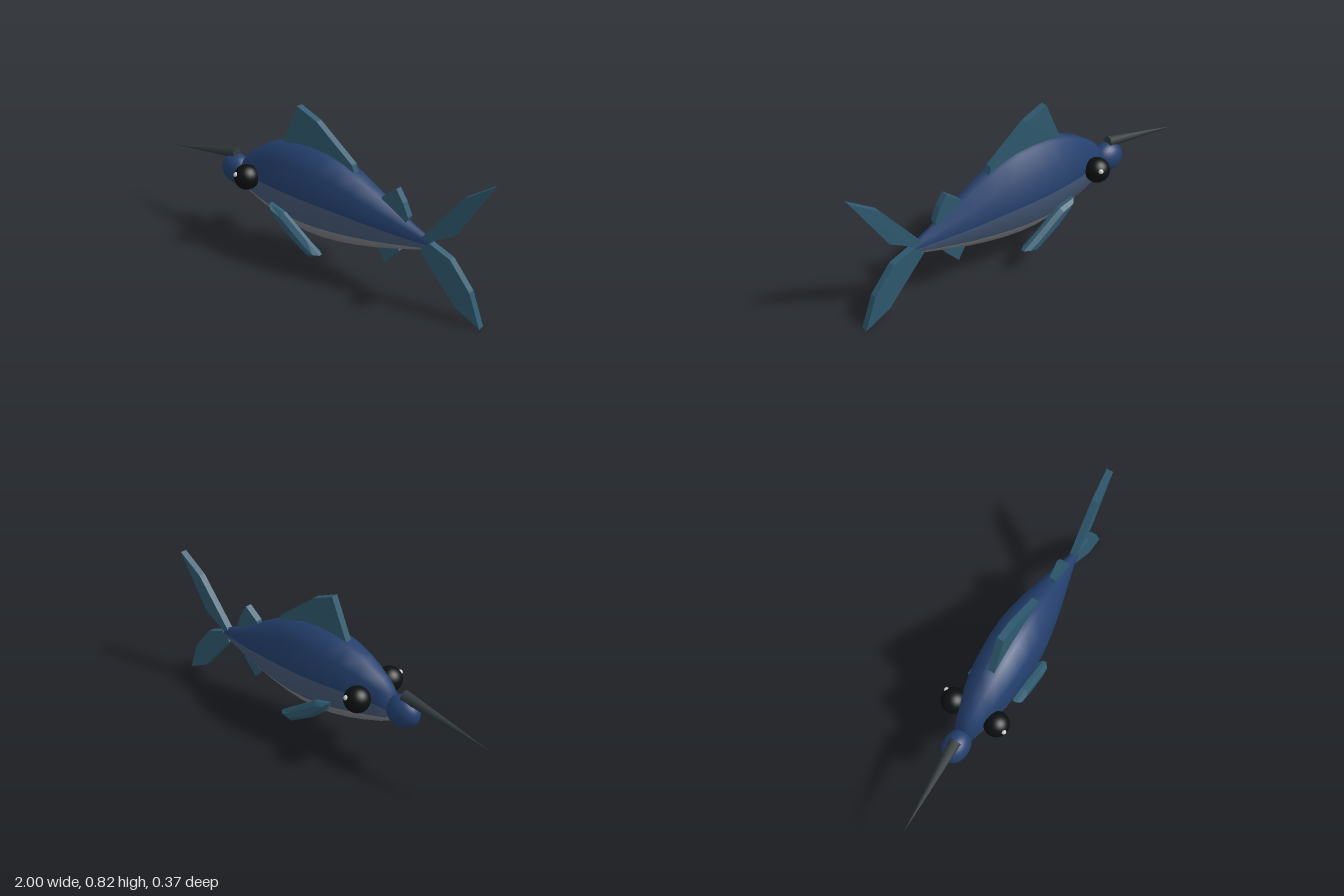
import * as THREE from 'three';

const mat = (color, side = THREE.FrontSide) => new THREE.MeshStandardMaterial({ color, side });

function add(parent, name, geometry, material) {
  const mesh = new THREE.Mesh(geometry, material);
  mesh.name = name;
  parent.add(mesh);
  return mesh;
}

// Ten-sided body lofted along x; stations are [x, top, bottom, halfWidth]
function bodyGeometry() {
  const stations = [
    [-0.45, 0.44, 0.29, 0.05], [-0.4, 0.5, 0.268, 0.068], [-0.3, 0.565, 0.236, 0.1],
    [-0.2, 0.605, 0.21, 0.122], [-0.1, 0.625, 0.19, 0.135], [0, 0.63, 0.18, 0.14],
    [0.1, 0.622, 0.181, 0.137], [0.2, 0.595, 0.19, 0.124], [0.3, 0.552, 0.205, 0.105],
    [0.4, 0.5, 0.225, 0.083], [0.5, 0.447, 0.25, 0.058], [0.6, 0.397, 0.278, 0.035],
    [0.7, 0.355, 0.308, 0.015],
  ];
  const n = 10, last = stations.length - 1, pos = [], index = [];
  for (const [x, top, bottom, w] of stations) {
    const cy = (top + bottom) / 2, ry = (top - bottom) / 2 / Math.sin(Math.PI * 0.4);
    for (let k = 0; k < n; k++) {
      const a = (k / n) * Math.PI * 2;
      pos.push(x, cy + ry * Math.sin(a), w * Math.cos(a));
    }
  }
  const front = pos.length / 3;
  pos.push(-0.45, 0.365, 0, 0.7, 0.332, 0);

  // Strips run nose to tail, grouped as back, flanks and belly
  const g = new THREE.BufferGeometry();
  [[0, 1, 2, 3, 4], [5, 9], [6, 7, 8]].forEach((strips, tone) => {
    const start = index.length;
    for (const k of strips) {
      const m = (k + 1) % n, e = last * n;
      for (let i = 0; i < last; i++) {
        const a = i * n + k, b = a + n, c = (i + 1) * n + m, d = i * n + m;
        index.push(a, b, c, a, c, d);
      }
      index.push(front, k, m, front + 1, e + m, e + k);
    }
    g.addGroup(start, index.length - start, tone);
  });
  g.setAttribute('position', new THREE.Float32BufferAttribute(pos, 3));
  g.setIndex(index);
  g.computeVertexNormals();
  return g;
}

// Flat fin cut from an outline in the xy plane, centred on z = 0
function finGeometry(points, thickness, bevel = 0) {
  const shape = new THREE.Shape(points.map(([x, y]) => new THREE.Vector2(x, y)));
  const depth = thickness - 2 * bevel;
  return new THREE.ExtrudeGeometry(shape, {
    depth, bevelEnabled: bevel > 0, bevelThickness: bevel,
    bevelSize: bevel, bevelOffset: -bevel, bevelSegments: 1,
  }).translate(0, 0, -depth / 2);
}

export function createModel() {
  const fish = new THREE.Group();
  fish.name = 'fish';
  const blue = mat(0x24406e), teal = mat(0x2f5a70), black = mat(0x0c0f10);

  add(fish, 'body', bodyGeometry(), [blue, mat(0x455876), mat(0x80848a)]);

  // Rounded snout
  const snout = add(fish, 'snout', new THREE.SphereGeometry(1, 24, 16), blue);
  snout.scale.set(0.09, 0.08, 0.066);
  snout.position.set(-0.515, 0.365, 0);

  // Long pointed bill
  const tip = new THREE.Vector3(-1, 0.37, 0), base = new THREE.Vector3(-0.515, 0.452, 0);
  const axis = tip.clone().sub(base);
  const bill = add(fish, 'bill', new THREE.ConeGeometry(0.03, axis.length(), 8), mat(0x30383a));
  bill.position.copy(tip).add(base).multiplyScalar(0.5);
  bill.quaternion.setFromUnitVectors(new THREE.Vector3(0, 1, 0), axis.normalize());

  // Fins on the centre line
  const fins = {
    dorsalFin: [[-0.2, 0.54], [-0.18, 0.6], [-0.085, 0.82], [0.035, 0.77], [0.25, 0.605], [0.27, 0.55]],
    upperFinlet: [[0.42, 0.47], [0.43, 0.5], [0.505, 0.56], [0.545, 0.5], [0.575, 0.435], [0.56, 0.39]],
    lowerFinlet: [[0.41, 0.235], [0.455, 0.16], [0.535, 0.25], [0.5, 0.3], [0.43, 0.29]],
    upperTailFin: [[0.64, 0.345], [0.855, 0.62], [0.995, 0.715], [0.82, 0.425], [0.7, 0.355]],
    lowerTailFin: [[0.645, 0.295], [0.85, 0.07], [0.985, 0.003], [0.92, 0.17], [0.81, 0.3], [0.695, 0.345]],
  };
  for (const [name, outline] of Object.entries(fins)) {
    add(fish, name, finGeometry(outline, 0.036), teal);
  }

  // Paired fins and eyes
  const pectoral = finGeometry(
    [[-0.17, 0.32], [-0.08, 0.295], [0.07, 0.19], [0.15, 0.135], [0.08, 0.105], [-0.06, 0.19], [-0.15, 0.265]],
    0.06, 0.02);
  for (const s of [1, -1]) {
    const side = s > 0 ? 'right' : 'left';
    add(fish, side + 'PectoralFin', pectoral, teal).position.z = s * 0.125;
    add(fish, side + 'Eye', new THREE.SphereGeometry(0.065, 24, 16), black).position.set(-0.335, 0.41, s * 0.12);
    add(fish, side + 'EyeGlint', new THREE.SphereGeometry(0.013, 12, 8), mat(0xcccccc))
      .position.set(-0.335 - s * 0.023, 0.434, s * 0.173);
  }
  return fish;
}
